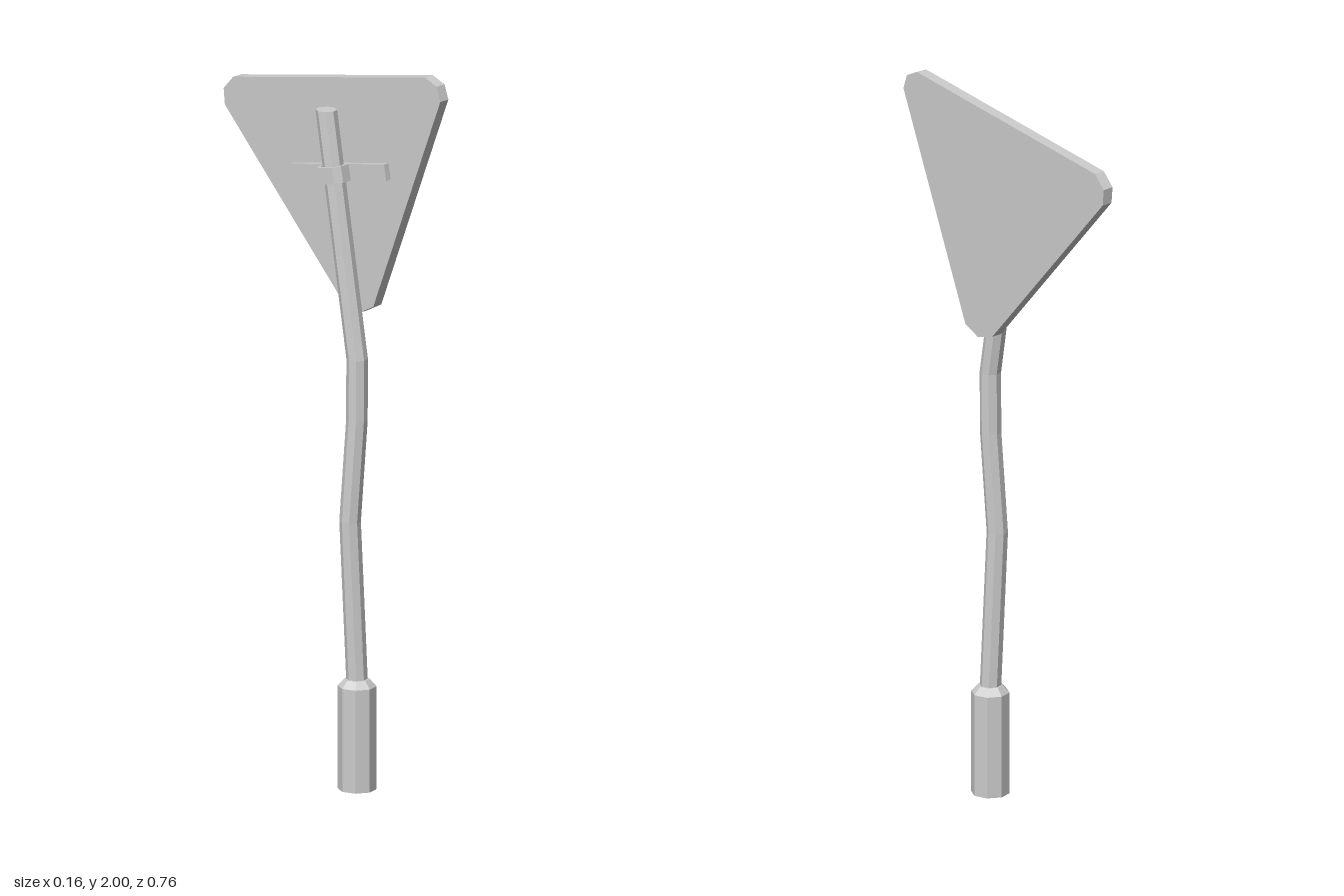
import * as THREE from 'three';

const grey = new THREE.MeshStandardMaterial({ color: 0xcccccc, flatShading: true });

function addMesh(parent, name, geometry) {
  const mesh = new THREE.Mesh(geometry, grey);
  mesh.name = name;
  parent.add(mesh);
  return mesh;
}

const polygon = (points) => new THREE.Shape(points.map(([x, y]) => new THREE.Vector2(x, y)));

// Eight-sided pole whose rings follow a list of centres
function bentPole(centres, radius) {
  const n = centres.length - 1;
  const geometry = new THREE.CylinderGeometry(radius, radius, n, 8, n);
  const p = geometry.attributes.position;
  for (let i = 0; i < p.count; i++) {
    const [x, y, z] = centres[Math.round(p.getY(i) + n / 2)];
    p.setXYZ(i, p.getX(i) + x, y, p.getZ(i) + z);
  }
  geometry.computeVertexNormals();
  return geometry;
}

export function createModel() {
  const model = new THREE.Group();
  model.name = 'bentRoadSign';

  // Ground sleeve with a bevelled collar
  addMesh(model, 'baseSleeve', new THREE.CylinderGeometry(0.052, 0.052, 0.285, 8))
    .position.set(-0.028, 0.1425, 0.12);
  addMesh(model, 'baseCollar', new THREE.CylinderGeometry(0.034, 0.052, 0.02, 8))
    .position.set(-0.028, 0.295, 0.12);

  // Crooked pole, leaning back at the top
  addMesh(model, 'pole', bentPole([
    [-0.028, 0.29, 0.12], [-0.04, 0.74, 0.105], [-0.029, 1.02, 0.12],
    [-0.028, 1.19, 0.12], [-0.043, 1.86, 0.01],
  ], 0.029));

  // Head: local x runs along the plate towards -z, local z is the plate normal
  const yaw = 0.159;
  const head = new THREE.Group();
  head.name = 'signHead';
  head.rotation.y = Math.PI / 2 + yaw;
  model.add(head);

  // Tilted triangular plate with clipped corners, outline as [z, y]
  const thickness = 0.033;
  const outline = [
    [0.376, 1.942], [0.363, 1.982], [0.323, 2], [-0.344, 1.882], [-0.377, 1.845],
    [-0.373, 1.8], [0.042, 1.323], [0.095, 1.308], [0.143, 1.333],
  ].map(([z, y]) => [-z / Math.cos(yaw), y]).reverse();
  const plate = new THREE.ExtrudeGeometry(polygon(outline), { depth: thickness, bevelEnabled: false });
  addMesh(head, 'signPlate', plate.translate(0, 0, -thickness / 2));

  // Bracket, rolled to match the tilt of the plate
  const bracket = new THREE.Group();
  bracket.name = 'bracket';
  bracket.position.set(-0.037, 1.69, 0);
  bracket.rotation.z = -0.17;
  head.add(bracket);
  addMesh(bracket, 'bracketBar', new THREE.BoxGeometry(0.335, 0.045, 0.018)).position.z = -0.0255;

  // U-shaped clamp around the pole
  const half = [[0.041, -0.02], [0.041, -0.066], [0.026, -0.086]];
  const inner = [[0.031, -0.02], [0.031, -0.062], [0.021, -0.076]];
  const mirror = (pts) => pts.map(([x, y]) => [-x, y]);
  const clampShape = polygon([
    ...half, ...mirror(half).reverse(), ...mirror(inner), ...[...inner].reverse(),
  ]);
  const clamp = new THREE.ExtrudeGeometry(clampShape, { depth: 0.045, bevelEnabled: false });
  clamp.rotateX(Math.PI / 2).translate(0, 0.0225, 0);
  addMesh(bracket, 'poleClamp', clamp);

  return model;
}
